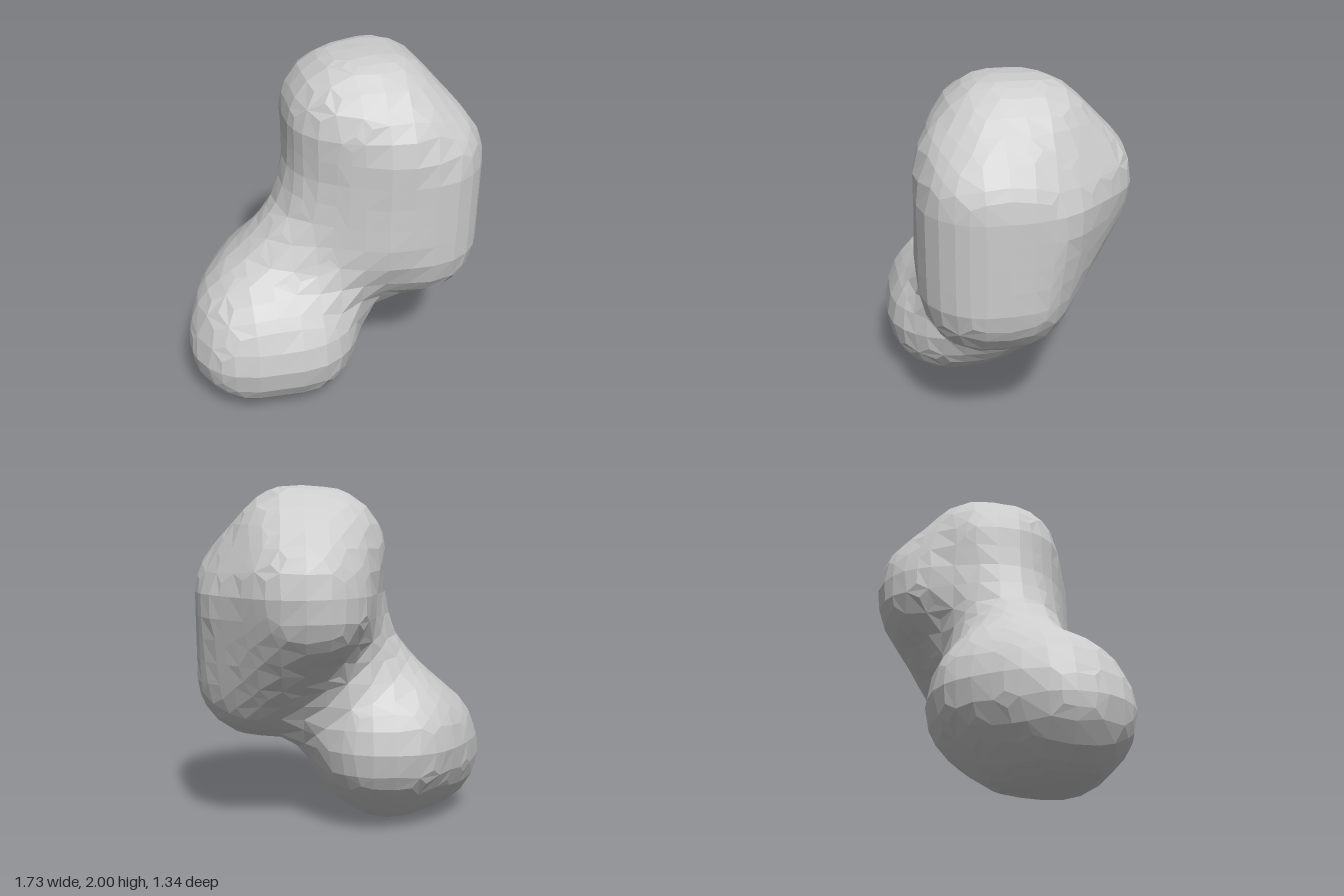
import * as THREE from 'three';
import { ConvexGeometry } from 'three/addons/geometries/ConvexGeometry.js';

const STEP = 0.128, N = 20;
const ORIGIN = new THREE.Vector3(-1.23, -0.21, -1.23);
const BLEND = 0.17;

// Each lobe is a convex core thickened by a radius.
const lobes = [
  { // upper lobe
    r: 0.37, core: [
      [0.13, 1.3, 0.05], [0.13, 1.62, 0.07], [0.28, 1.63, 0.08], [0.28, 1.63, -0.09], [0.13, 1.62, -0.06],
      [0.36, 1.5, 0.18], [0.34, 1.0, 0.18], [0.49, 1.4, 0.18], [0.49, 1.38, 0.04], [0.47, 1.33, -0.06],
      [0.49, 0.9, 0.18], [0.49, 0.9, 0.07], [0.25, 1.41, -0.305], [0.23, 1.34, -0.3],
    ],
  },
  { // lower lobe
    r: 0.37, core: [
      [-0.5, 0.37, 0.29], [-0.26, 0.37, 0.3], [-0.31, 0.5, -0.05],
      [-0.22, 0.49, -0.05], [-0.48, 0.43, 0.27], [-0.3, 0.38, 0.08],
    ],
  },
  { // neck between them
    r: 0.33, core: [
      [-0.43, 0.48, 0.14], [-0.2, 0.43, 0.12], [0.05, 0.98, 0.04], [0.12, 1.15, 0.04],
      [0.33, 1.03, 0.11], [0, 0.75, 0.14],
    ],
  },
].map(({ r, core }) => {
  const p = new ConvexGeometry(core.map((c) => new THREE.Vector3(...c))).attributes.position;
  const at = (i) => new THREE.Vector3().fromBufferAttribute(p, i);
  const faces = [];
  for (let i = 0; i < p.count; i += 3) faces.push(new THREE.Triangle(at(i), at(i + 1), at(i + 2)));
  return { r, faces };
});

const near = new THREE.Vector3();
function lobeDistance({ r, faces }, p) {
  let d = Infinity;
  for (const f of faces) d = Math.min(d, f.closestPointToPoint(p, near).distanceTo(p));
  return d - r;
}

function softMin(a, b) {
  const h = Math.max(BLEND - Math.abs(a - b), 0) / BLEND;
  return Math.min(a, b) - (h * h * BLEND) / 4;
}

const field = (p) => lobes.map((l) => lobeDistance(l, p)).reduce(softMin);

// Slide a point along the field's slope onto the surface.
function settle(p) {
  const e = 0.02;
  for (let k = 0; k < 3; k++) {
    const d = field(p);
    const g = new THREE.Vector3();
    for (let a = 0; a < 3; a++) {
      const q = p.clone();
      q.setComponent(a, q.getComponent(a) + e);
      const hi = field(q);
      q.setComponent(a, q.getComponent(a) - 2 * e);
      g.setComponent(a, (hi - field(q)) / (2 * e));
    }
    p.addScaledVector(g, -d / Math.max(g.lengthSq(), 0.6));
  }
  return p;
}

// Coarse faceted skin: one vertex per crossed cell, one quad per crossed edge.
function skin() {
  const id = (i, j, k) => (i * N + j) * N + k;
  const point = (i, j, k) => new THREE.Vector3(i, j, k).multiplyScalar(STEP).add(ORIGIN);
  const value = new Float32Array(N * N * N);
  const each = (n, fn) => {
    for (let i = 0; i < n; i++) for (let j = 0; j < n; j++) for (let k = 0; k < n; k++) fn(i, j, k);
  };
  each(N, (i, j, k) => { value[id(i, j, k)] = field(point(i, j, k)); });

  const positions = [], index = [], vertexOf = new Map();
  const strides = [N * N, N, 1];
  each(N - 1, (i, j, k) => {
    const mean = new THREE.Vector3();
    let count = 0;
    for (let a = 0; a < 3; a++) {
      for (let c = 0; c < 4; c++) {
        const s = [i, j, k];
        s[(a + 1) % 3] += c & 1;
        s[(a + 2) % 3] += c >> 1;
        const v0 = value[id(...s)], v1 = value[id(...s) + strides[a]];
        if ((v0 < 0) === (v1 < 0)) continue;
        const q = point(...s);
        q.setComponent(a, q.getComponent(a) + (STEP * v0) / (v0 - v1));
        mean.add(q);
        count++;
      }
    }
    if (!count) return;
    vertexOf.set(id(i, j, k), positions.length / 3);
    positions.push(...settle(mean.divideScalar(count)).toArray());
  });

  each(N - 1, (i, j, k) => {
    const o = id(i, j, k);
    for (let a = 0; a < 3; a++) {
      const inside = value[o] < 0;
      if (inside === (value[o + strides[a]] < 0)) continue;
      const b = strides[(a + 1) % 3], c = strides[(a + 2) % 3];
      const quad = [o, o - b, o - b - c, o - c].map((n) => vertexOf.get(n));
      if (!inside) quad.reverse();
      index.push(quad[0], quad[1], quad[2], quad[0], quad[2], quad[3]);
    }
  });

  const geometry = new THREE.BufferGeometry();
  geometry.setAttribute('position', new THREE.Float32BufferAttribute(positions, 3));
  geometry.setIndex(index);
  geometry.computeVertexNormals();
  return geometry;
}

export function createModel() {
  const group = new THREE.Group();
  group.name = 'blob';
  const body = new THREE.Mesh(skin(), new THREE.MeshStandardMaterial({ color: 0xcccccc, flatShading: true }));
  body.name = 'blobBody';
  group.add(body);
  return group;
}
